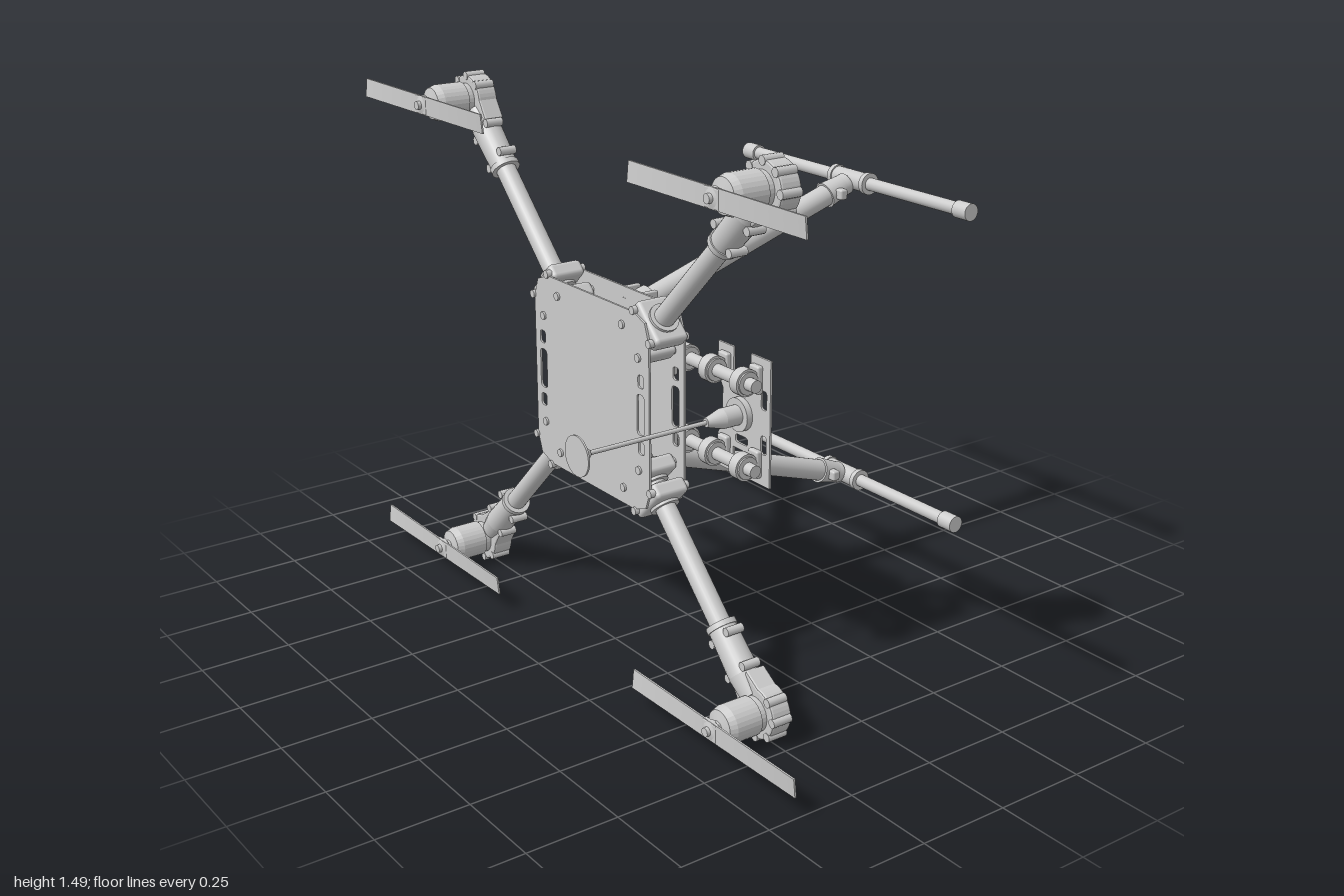
import * as THREE from 'three';
import { RoundedBoxGeometry } from 'three/addons/geometries/RoundedBoxGeometry.js';

const mat = new THREE.MeshStandardMaterial({ color: 0xcccccc });
const CY = 0.758; // height of the frame centre
const ARM_Z = 0.26;

function add(parent, name, geo, x = 0, y = 0, z = 0) {
  const m = new THREE.Mesh(geo, mat);
  m.name = name;
  m.position.set(x, y, z);
  parent.add(m);
  return m;
}

// Cylinder or cone between two points
function rod(parent, name, a, b, r0, r1 = r0, seg = 24) {
  const p = new THREE.Vector3(...a), d = new THREE.Vector3(...b).sub(p);
  const m = add(parent, name, new THREE.CylinderGeometry(r1, r0, d.length(), seg));
  m.position.copy(p).addScaledVector(d, 0.5);
  m.quaternion.setFromUnitVectors(new THREE.Vector3(0, 1, 0), d.normalize());
  return m;
}

function box(parent, name, w, h, d, x, y, z, r = 0.006) {
  return add(parent, name, new RoundedBoxGeometry(w, h, d, 2, r), x, y, z);
}

// Rounded slot used as a hole
function slot(x, y, w, h) {
  const p = new THREE.Path(), r = Math.min(w, h) / 2 * 0.8;
  const X = w / 2, Y = h / 2;
  p.moveTo(x - X + r, y - Y);
  p.lineTo(x + X - r, y - Y).quadraticCurveTo(x + X, y - Y, x + X, y - Y + r);
  p.lineTo(x + X, y + Y - r).quadraticCurveTo(x + X, y + Y, x + X - r, y + Y);
  p.lineTo(x - X + r, y + Y).quadraticCurveTo(x - X, y + Y, x - X, y + Y - r);
  p.lineTo(x - X, y - Y + r).quadraticCurveTo(x - X, y - Y, x - X + r, y - Y);
  return p;
}

function polygon(points) {
  return new THREE.Shape(points.map(([x, y]) => new THREE.Vector2(x, y)));
}

function extrude(shape, depth, bevel = 0) {
  return new THREE.ExtrudeGeometry(shape, {
    depth, curveSegments: 16, bevelEnabled: bevel > 0,
    bevelSize: bevel, bevelThickness: bevel, bevelSegments: 2,
  });
}

// Square plate with chamfered corners and slots beside each edge
function framePlate() {
  const H = 0.268, c = 0.2, k = 0.25;
  const s = polygon([[H, -c], [H, c], [k, k], [c, H], [-c, H], [-k, k],
    [-H, c], [-H, -c], [-k, -k], [-c, -H], [c, -H], [k, -k]]);
  for (const sx of [-1, 1]) {
    s.holes.push(slot(sx * 0.23, 0, 0.032, 0.11));
    for (const sy of [-1, 1]) s.holes.push(slot(sx * 0.232, sy * 0.09, 0.026, 0.035));
  }
  return extrude(s, 0.006);
}

// One arm lies along local +x, with its motor at the tip
function arm(sx, sy) {
  const g = new THREE.Group();
  g.name = 'arm';
  const a = new THREE.Group();
  a.rotation.z = Math.atan2(sy, sx);
  g.add(a);
  const M = 0.943;
  rod(a, 'armTube', [0.22, 0, 0], [0.86, 0, 0], 0.028);

  // Clamps between the frame plates
  for (const u of [0.265, 0.335]) {
    box(a, 'armClamp', 0.045, 0.13, 0.1, u, 0, 0, 0.012);
    rod(a, 'clampRing', [u - 0.03, 0, 0], [u + 0.03, 0, 0], 0.04);
    for (const v of [-0.05, 0.05]) {
      rod(a, 'clampBolt', [u, v, -0.058], [u, v, 0.063], 0.011, 0.011, 12);
    }
  }

  // Sleeve and motor mount
  rod(a, 'mountSleeve', [0.7, 0, 0], [0.84, 0, 0], 0.037, 0.041);
  rod(a, 'sleeveCollar', [0.7, 0, 0], [0.715, 0, 0], 0.041);
  rod(a, 'sleeveNeck', [0.84, 0, 0], [0.9, 0, 0], 0.041, 0.034);
  for (const u of [0.735, 0.83]) for (const v of [-0.042, 0.042]) {
    rod(a, 'sleeveLug', [u, v, -0.025], [u, v, 0.025], 0.012, 0.012, 12);
  }
  const cup = new THREE.Shape();
  cup.moveTo(0.85, -0.036);
  cup.lineTo(0.9, -0.047);
  cup.absarc(M, 0, 0.063, -2.3, 2.3, false);
  cup.lineTo(0.85, 0.036);
  cup.closePath();
  add(a, 'motorMount', extrude(cup, 0.048, 0.006), 0, 0, -0.034);
  for (let i = 0; i < 5; i++) {
    const t = -1.6 + i * 0.8, x = M + 0.066 * Math.cos(t), y = 0.066 * Math.sin(t);
    rod(a, 'mountLug', [x, y, -0.035], [x, y, 0.022], 0.012, 0.012, 12);
  }

  // Motor, shaft and propeller
  const x = sx * M * Math.SQRT1_2, y = sy * M * Math.SQRT1_2;
  const profile = [[0, 0.015], [0.046, 0.015], [0.046, 0.035], [0.051, 0.037], [0.051, 0.112],
    [0.044, 0.132], [0.018, 0.138], [0.018, 0.148], [0.026, 0.15], [0.026, 0.164],
    [0.012, 0.168], [0.012, 0.178], [0, 0.178]];
  const motor = add(g, 'motor', new THREE.LatheGeometry(
    profile.map(([r, h]) => new THREE.Vector2(r, h)), 28), x, y, 0);
  motor.rotation.x = Math.PI / 2;
  motor.material = mat;
  motor.geometry = motor.geometry.toNonIndexed();
  motor.geometry.computeVertexNormals();
  box(g, 'propellerHub', 0.055, 0.05, 0.014, x, y, 0.158, 0.004);

  // Blades pitch slightly towards the tips
  const blade = new THREE.BoxGeometry(0.656, 0.052, 0.005, 24, 4, 1);
  const p = blade.attributes.position;
  for (let i = 0; i < p.count; i++) {
    p.setZ(i, p.getZ(i) + p.getY(i) * p.getX(i) * 0.3);
  }
  blade.computeVertexNormals();
  add(g, 'propeller', blade, x, y, 0.161);
  g.position.set(0, CY, ARM_Z);
  return g;
}

// Landing leg reaching backwards, with a crossbar foot
function landingLeg(s) {
  const g = new THREE.Group();
  g.name = 'landingLeg';
  const at = (z) => [0, CY + s * (0.194 + (0.2 - z) * 0.325), z];
  rod(g, 'legTube', at(0.18), at(-0.55), 0.031);
  rod(g, 'legSocket', at(0.195), at(0.125), 0.044, 0.041);
  box(g, 'legBase', 0.11, 0.1, 0.022, 0, CY + s * 0.205, 0.193);
  for (const x of [-0.04, 0.04]) box(g, 'legBracket', 0.014, 0.08, 0.07, x, CY + s * 0.214, 0.165, 0.004);
  rod(g, 'legCollar', at(-0.475), at(-0.545), 0.037, 0.03);
  for (const x of [-0.04, 0.04]) box(g, 'collarLug', 0.03, 0.03, 0.025, x, at(-0.5)[1], -0.5);
  const [, y, z] = at(-0.575);
  rod(g, 'footTee', [-0.07, y, z], [0.07, y, z], 0.027);
  rod(g, 'footBar', [-0.46, y, z], [0.46, y, z], 0.018);
  for (const x of [-1, 1]) {
    rod(g, 'footCap', [x * 0.425, y, z], [x * 0.475, y, z], 0.024);
    rod(g, 'teeFlange', [x * 0.06, y, z], [x * 0.075, y, z], 0.031);
  }
  return g;
}

// Rail with hangers under the frame and accessory plate
function rail(s) {
  const g = new THREE.Group();
  g.name = 'rail';
  const y = CY + s * 0.113, z = 0.145;
  rod(g, 'railTube', [-0.455, y, z], [0.485, y, z], 0.017);
  for (const x of [-0.19, 0.19, 0.305, 0.435]) {
    const frame = x < 0.25;
    rod(g, 'hangerRing', [x - 0.015, y, z], [x + 0.015, y, z], 0.036);
    for (const d of [-0.016, 0.016]) rod(g, 'hangerLip', [x + d - 0.004, y, z], [x + d + 0.004, y, z], 0.03);
    box(g, 'hangerFoot', 0.04, 0.075, 0.018, x, y, frame ? 0.193 : 0.108);
    box(g, 'hangerPost', 0.024, 0.05, 0.04, x, y, frame ? 0.178 : 0.122);
  }
  return g;
}

// Side plate on the rails, carrying the mast
function accessory() {
  const g = new THREE.Group();
  g.name = 'accessoryMount';
  const half = [[0.115, 0], [0.115, 0.17], [0.035, 0.17], [0.035, 0.1], [-0.035, 0.1],
    [-0.035, 0.17], [-0.1, 0.17], [-0.1, 0.08], [-0.08, 0.05]];
  const s = polygon([...half, ...half.slice(1).reverse().map(([x, y]) => [x, -y])]);
  for (const sy of [-1, 1]) {
    s.holes.push(slot(0.09, sy * 0.06, 0.022, 0.05));
    s.holes.push(slot(0, sy * 0.072, 0.05, 0.022));
  }
  add(g, 'accessoryPlate', extrude(s, 0.006), 0, 0, 0.095);
  rod(g, 'mastFlange', [0, 0, 0.1], [0, 0, 0.118], 0.045);
  rod(g, 'mastBase', [0, 0, 0.115], [0, 0, 0.165], 0.027);
  rod(g, 'mastSocket', [0, 0, 0.165], [0, 0, 0.215], 0.027, 0.012);
  rod(g, 'mast', [0, 0, 0.1], [0, 0, 0.58], 0.006, 0.006, 12);
  rod(g, 'mastHead', [0, 0, 0.565], [0, 0, 0.597], 0.01, 0.03);
  rod(g, 'mastDisc', [0, 0, 0.596], [0, 0, 0.601], 0.052, 0.052, 32);
  g.position.set(0.37, CY, 0);
  return g;
}

export function createModel() {
  const model = new THREE.Group();
  model.name = 'quadcopter';
  const plate = framePlate();
  add(model, 'frontPlate', plate, 0, CY, 0.311);
  add(model, 'rearPlate', plate, 0, CY, 0.202);
  for (const sy of [-1, 1]) {
    for (const sx of [-1, 1]) model.add(arm(sx, sy));
    model.add(landingLeg(sy), rail(sy));
  }
  model.add(accessory());
  return model;
}
